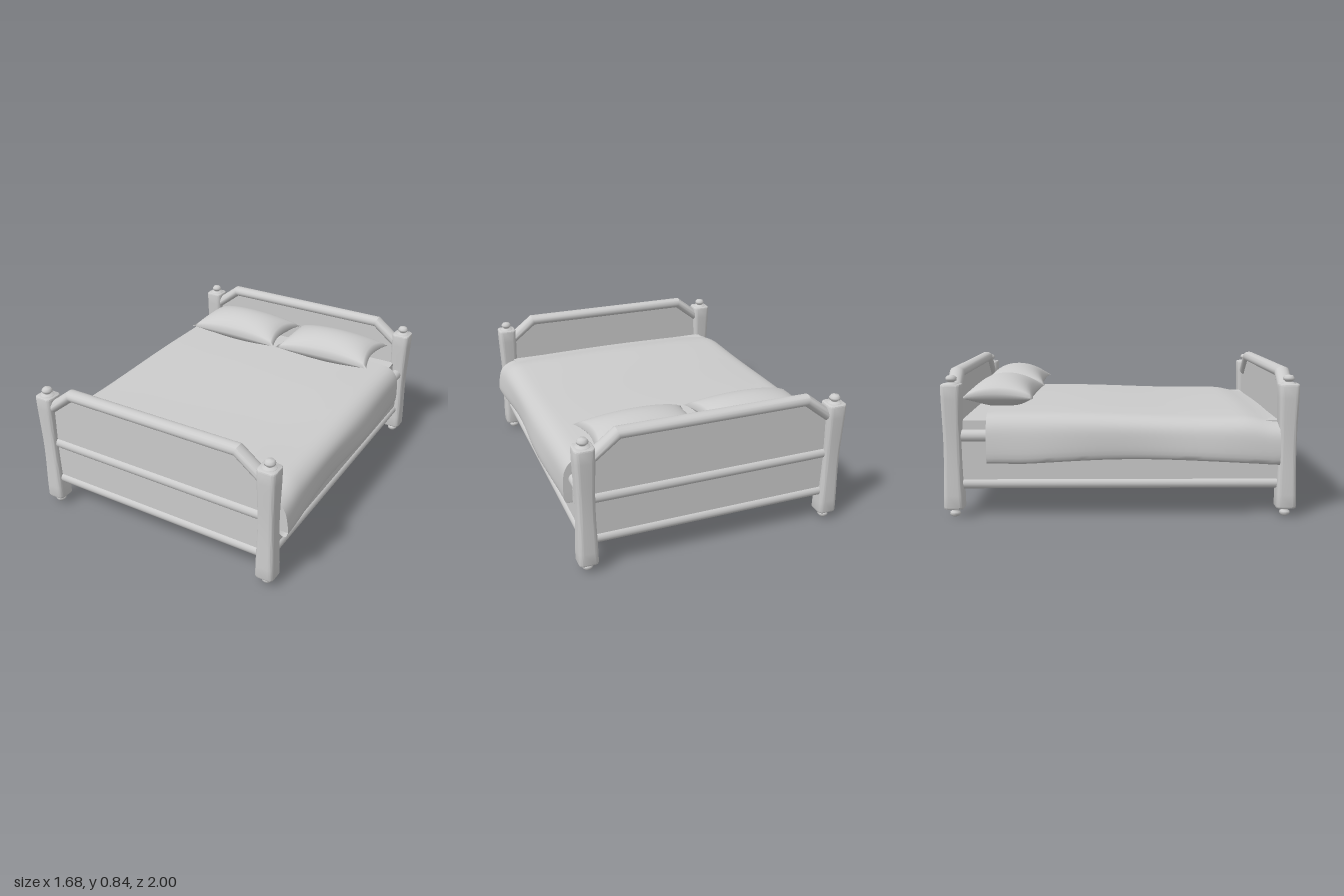
import * as THREE from 'three';
import { toCreasedNormals } from 'three/addons/utils/BufferGeometryUtils.js';
import { ParametricGeometry } from 'three/addons/geometries/ParametricGeometry.js';

const material = new THREE.MeshStandardMaterial({ color: 0xcccccc });
const clothMaterial = new THREE.MeshStandardMaterial({ color: 0xcccccc, side: THREE.DoubleSide });
const POST_X = 0.747, POST_Z = 0.943;

function add(parent, name, geometry, x = 0, y = 0, z = 0, mat = material) {
  const mesh = new THREE.Mesh(geometry, mat);
  mesh.name = name;
  mesh.position.set(x, y, z);
  parent.add(mesh);
  return mesh;
}

const lathe = (points) =>
  new THREE.LatheGeometry(points.map(([r, y]) => new THREE.Vector2(r, y)), 16);

// Rounded square post with a slim waist, standing from y = 0.05 to 0.76
function postGeometry() {
  const h = 0.052, r = 0.022, k = h - r;
  const s = new THREE.Shape();
  s.absarc(k, k, r, 0, Math.PI / 2);
  s.absarc(-k, k, r, Math.PI / 2, Math.PI);
  s.absarc(-k, -k, r, Math.PI, Math.PI * 1.5);
  s.absarc(k, -k, r, Math.PI * 1.5, Math.PI * 2);
  const g = new THREE.ExtrudeGeometry(s, {
    depth: 0.69, steps: 10, curveSegments: 4,
    bevelSize: 0.005, bevelThickness: 0.01, bevelSegments: 2,
  });
  g.rotateX(-Math.PI / 2).translate(0, 0.06, 0);
  const p = g.attributes.position;
  for (let i = 0; i < p.count; i++) {
    const t = (p.getY(i) - 0.05) / 0.71;
    const w = 1 - 0.13 * Math.sin(Math.PI * Math.min(Math.max(t, 0), 1)) ** 2;
    p.setX(i, p.getX(i) * w);
    p.setZ(i, p.getZ(i) * w);
  }
  return toCreasedNormals(g, 0.7);
}

// Mitred oval rail following the clipped top of an end board
function crestRailGeometry() {
  const pts = [[-0.72, 0.68], [-0.557, 0.806], [0.557, 0.806], [0.72, 0.68]]
    .map(([x, y]) => new THREE.Vector2(x, y));
  const normals = pts.slice(1).map((p, i) => {
    const d = p.clone().sub(pts[i]).normalize();
    return new THREE.Vector2(-d.y, d.x);
  });
  const mitres = pts.map((_, i) => {
    const a = normals[Math.max(i - 1, 0)], b = normals[Math.min(i, 2)];
    const m = a.clone().add(b).normalize();
    return m.divideScalar(m.dot(a));
  });
  const g = new ParametricGeometry((u, v, out) => {
    const i = Math.round(v * 3), a = u * Math.PI * 2;
    const c = Math.cos(a) * 0.033;
    out.set(pts[i].x + mitres[i].x * c, pts[i].y + mitres[i].y * c, Math.sin(a) * 0.044);
  }, 16, 3);
  // Three loft rows only: normals come from the faces themselves
  return toCreasedNormals(g, 0.55);
}

function endBoard(name, z) {
  const group = new THREE.Group();
  group.name = name;
  group.position.z = z;
  const s = new THREE.Shape();
  [[-0.71, 0.19], [0.71, 0.19], [0.71, 0.69], [0.557, 0.806], [-0.557, 0.806], [-0.71, 0.69]]
    .forEach(([x, y], i) => (i ? s.lineTo(x, y) : s.moveTo(x, y)));
  add(group, 'boardPanel', new THREE.ExtrudeGeometry(s, { depth: 0.03, bevelEnabled: false }), 0, 0, -0.015);
  add(group, 'crestRail', crestRailGeometry(), 0, 0, 0, clothMaterial);
  for (const [railName, y, r] of [['middleRail', 0.447, 0.033], ['lowerRail', 0.194, 0.031]]) {
    add(group, railName, new THREE.CylinderGeometry(r, r, 1.44, 16).rotateZ(Math.PI / 2), 0, y, 0);
  }
  return group;
}

function post(name, x, z) {
  const group = new THREE.Group();
  group.name = name;
  group.position.set(x, 0, z);
  add(group, 'postShaft', postGeometry());
  add(group, 'foot', lathe([[0, 0], [0.02, 0.002], [0.031, 0.015], [0.028, 0.027],
    [0.017, 0.035], [0.02, 0.043], [0.04, 0.05], [0.04, 0.06]]));
  add(group, 'finial', lathe([[0.042, 0.755], [0.04, 0.764], [0.02, 0.768], [0.018, 0.773],
    [0.031, 0.781], [0.032, 0.793], [0.022, 0.806], [0, 0.81]]));
  return group;
}

// Draped cover: one cross-section over the bed, rippled along its length
function blanketGeometry() {
  const half = [[0.76, 0.33], [0.805, 0.305], [0.825, 0.32], [0.828, 0.42], [0.808, 0.51],
    [0.755, 0.558], [0.62, 0.574], [0.3, 0.583]];
  const section = new THREE.CatmullRomCurve3([
    ...half.map(([x, y]) => new THREE.Vector3(-x, y, 0)),
    new THREE.Vector3(0, 0.586, 0),
    ...half.slice().reverse().map(([x, y]) => new THREE.Vector3(x, y, 0)),
  ], false, 'centripetal');
  const rows = 36;
  const g = new ParametricGeometry((u, v, out) => {
    const row = Math.round(v * rows);
    const t = Math.min(Math.max((row - 1) / (rows - 2), 0), 1);
    section.getPoint(u, out);
    const z = 0.895 - t * 1.645;
    const low = THREE.MathUtils.clamp((0.55 - out.y) / 0.22, 0, 1);
    const top = 1 - low;
    // raised hem, gentle side folds, rise towards the pillows, fall at the foot
    out.y += low * (0.028 * Math.sin(Math.PI * Math.min(t * 1.15, 1)) + 0.012 * t);
    out.x *= 1 + low * 0.012 * Math.sin(z * 6 + (out.x > 0 ? 2.6 : -1.6)) - 0.012 * t;
    out.y += top * (0.022 * THREE.MathUtils.smoothstep(-z, -0.5, 0.4)
      - 0.03 * THREE.MathUtils.smoothstep(z, 0.7, 0.9));
    out.z = z + (t === 1 ? 0.012 * Math.sin(out.x * 4) : 0);
    // closing rows: tucked at the foot, turned under at the head
    if (row === 0) out.y = Math.min(out.y, 0.34);
    if (row === rows) { out.x *= 0.93; out.y -= 0.05 * top; }
  }, 64, rows);
  return toCreasedNormals(g, 0.8);
}

// Half of a pillow with drawn-out corners; side is +1 for the top, -1 for the underside
function pillowHalf(side) {
  return new ParametricGeometry((u, v, out) => {
    const a = (2 * u - 1) * side, b = 1 - 2 * v;
    const ea = 1 - a * a, eb = 1 - b * b;
    const puff = Math.pow(Math.max(ea * eb, 0), 0.55);
    out.set(
      a * 0.335 * (1 - 0.11 * eb),
      side * puff * (side > 0 ? 0.112 : 0.085) + 0.02 * eb * a * a,
      b * 0.207 * (1 - 0.13 * ea));
  }, 24, 20);
}

export function createModel() {
  const bed = new THREE.Group();
  bed.name = 'bed';

  bed.add(endBoard('headboard', -POST_Z), endBoard('footboard', POST_Z));
  for (const [sx, side] of [[1, 'left'], [-1, 'right']]) {
    bed.add(post(side + 'FrontPost', sx * POST_X, POST_Z));
    bed.add(post(side + 'BackPost', sx * POST_X, -POST_Z));
    // Side rails and the panel between them
    for (const [name, y, r] of [['LowerSideRail', 0.192, 0.03], ['UpperSideRail', 0.466, 0.034]]) {
      add(bed, side + name, new THREE.CylinderGeometry(r, r, 1.86, 16).rotateX(Math.PI / 2), sx * POST_X, y, 0);
    }
    add(bed, side + 'SidePanel', new THREE.BoxGeometry(0.03, 0.27, 1.86), sx * POST_X, 0.33, 0);

    // Pillow made of two shells meeting at the seam
    const pillow = new THREE.Group();
    pillow.name = side + 'Pillow';
    pillow.position.set(sx * 0.338, 0.665, -0.695);
    pillow.rotation.y = sx * 0.02;
    add(pillow, 'pillowTop', pillowHalf(1), 0, 0, 0, clothMaterial);
    add(pillow, 'pillowUnderside', pillowHalf(-1), 0, 0, 0, clothMaterial);
    bed.add(pillow);
  }

  add(bed, 'basePanel', new THREE.BoxGeometry(1.48, 0.02, 1.87), 0, 0.19, 0);
  add(bed, 'mattress', new THREE.BoxGeometry(1.44, 0.35, 1.8), 0, 0.372, 0);
  add(bed, 'blanket', blanketGeometry(), 0, 0, 0, clothMaterial);
  return bed;
}
